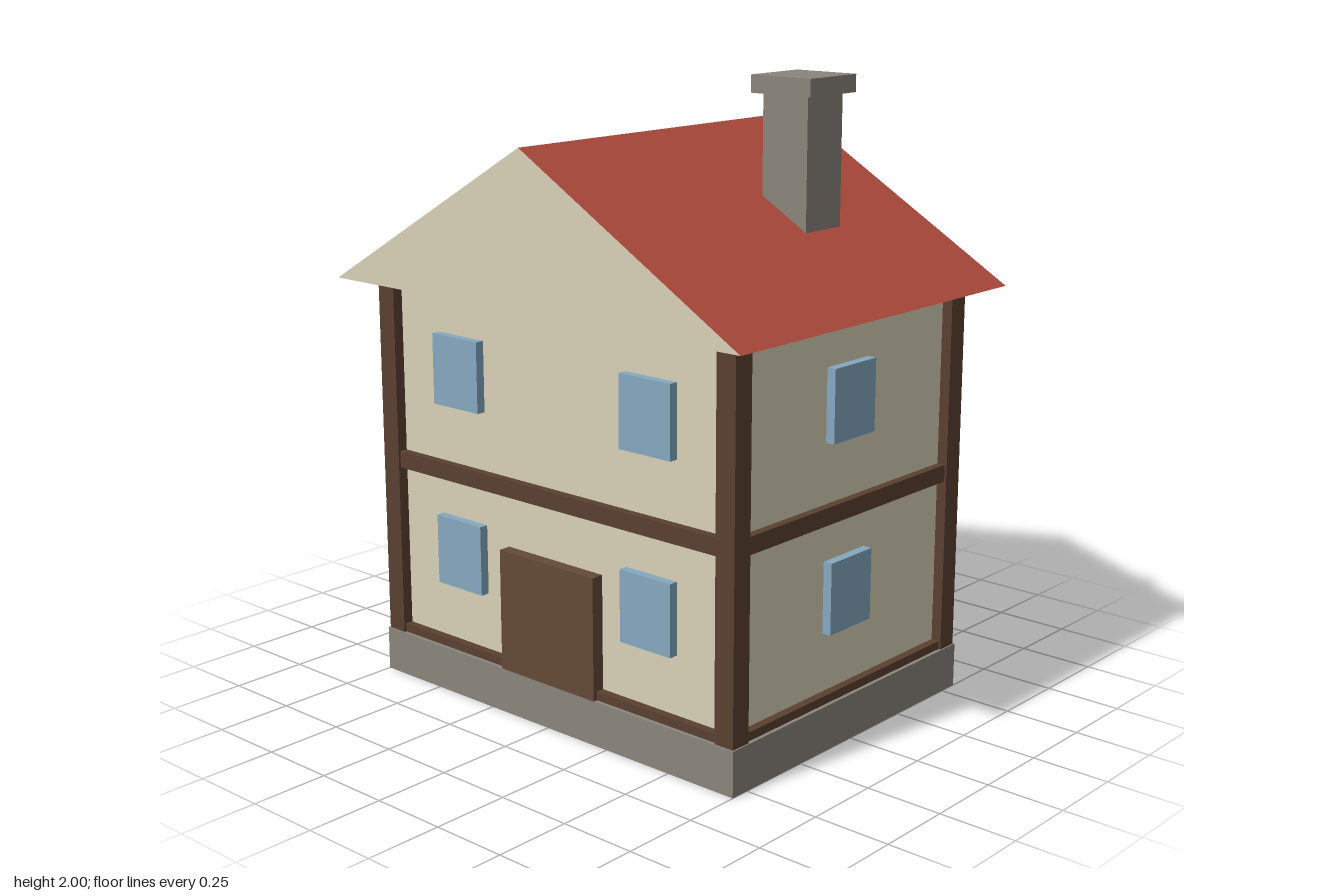
import * as THREE from 'three';

const mat = (color, side = THREE.FrontSide) => new THREE.MeshStandardMaterial({ color, side, flatShading: true });

export function createModel() {
  const house = new THREE.Group();
  house.name = 'house';
  const stone = mat(0x8a867c), timber = mat(0x5a4030), plaster = mat(0xd8d2b8);
  const glass = mat(0x86a8c0), wood = mat(0x644a38);
  const tiles = mat(0xb04a3c, THREE.DoubleSide), gablePlaster = mat(0xd8d2b8, THREE.DoubleSide);

  const add = (name, geometry, material, x = 0, y = 0, z = 0) => {
    const mesh = new THREE.Mesh(geometry, material);
    mesh.name = name;
    mesh.position.set(x, y, z);
    house.add(mesh);
    return mesh;
  };
  const box = (name, material, [w, h, d], [x, y, z]) =>
    add(name, new THREE.BoxGeometry(w, h, d), material, x, y, z);

  const WX = 0.71, WZ = 0.525;          // half extents of the walls
  const FLOOR = 0.145, EAVE = 1.335;    // wall bottom and top
  const MID = (FLOOR + EAVE) / 2, WALL = EAVE - FLOOR;

  // Foundation and walls
  box('foundation', stone, [1.5, FLOOR, 1.13], [0, FLOOR / 2, 0]);
  box('walls', plaster, [WX * 2, WALL, WZ * 2], [0, MID, 0]);

  // Timber frame: corner posts and three rings of beams
  for (const sx of [-1, 1]) for (const sz of [-1, 1])
    box('cornerPost', timber, [0.07, WALL, 0.07], [sx * WX, MID, sz * WZ]);
  for (const y of [FLOOR, MID, EAVE]) for (const s of [-1, 1]) {
    box('longBeam', timber, [WX * 2, 0.055, 0.055], [0, y, s * WZ]);
    box('sideBeam', timber, [0.055, 0.055, WZ * 2], [s * WX, y, 0]);
  }

  // Door and windows: two on the front and one on each side per storey
  box('door', wood, [0.4, 0.395, 0.08], [0, FLOOR + 0.1975, WZ + 0.002]);
  for (const y of [0.475, 1.072]) for (const s of [-1, 1]) {
    box('frontWindow', glass, [0.2, 0.228, 0.06], [s * 0.4, y, WZ]);
    box('sideWindow', glass, [0.06, 0.228, 0.2], [s * WX, y, 0]);
  }

  // Roof: two thin slopes closed by a gable at each end, open underneath
  const RX = 0.835, RH = 0.485, RZ = 0.65;
  const gable = new THREE.Shape([[-RX, 0], [RX, 0], [0, RH]].map(p => new THREE.Vector2(...p)));
  for (const s of [-1, 1]) {
    const slope = new THREE.PlaneGeometry(RZ * 2, Math.hypot(RX, RH));
    slope.rotateX(-Math.atan2(RX, RH)).rotateY(s * Math.PI / 2);
    add('roofSlope', slope, tiles, s * RX / 2, EAVE + RH / 2, 0);
    const end = add('gable', new THREE.ShapeGeometry(gable), gablePlaster, 0, EAVE, s * RZ);
    if (s < 0) end.rotation.y = Math.PI;
  }

  // Chimney
  box('chimneyShaft', stone, [0.17, 0.6, 0.17], [0.405, 1.65, -0.156]);
  box('chimneyCap', stone, [0.225, 0.055, 0.225], [0.405, 1.9725, -0.158]);

  return house;
}
